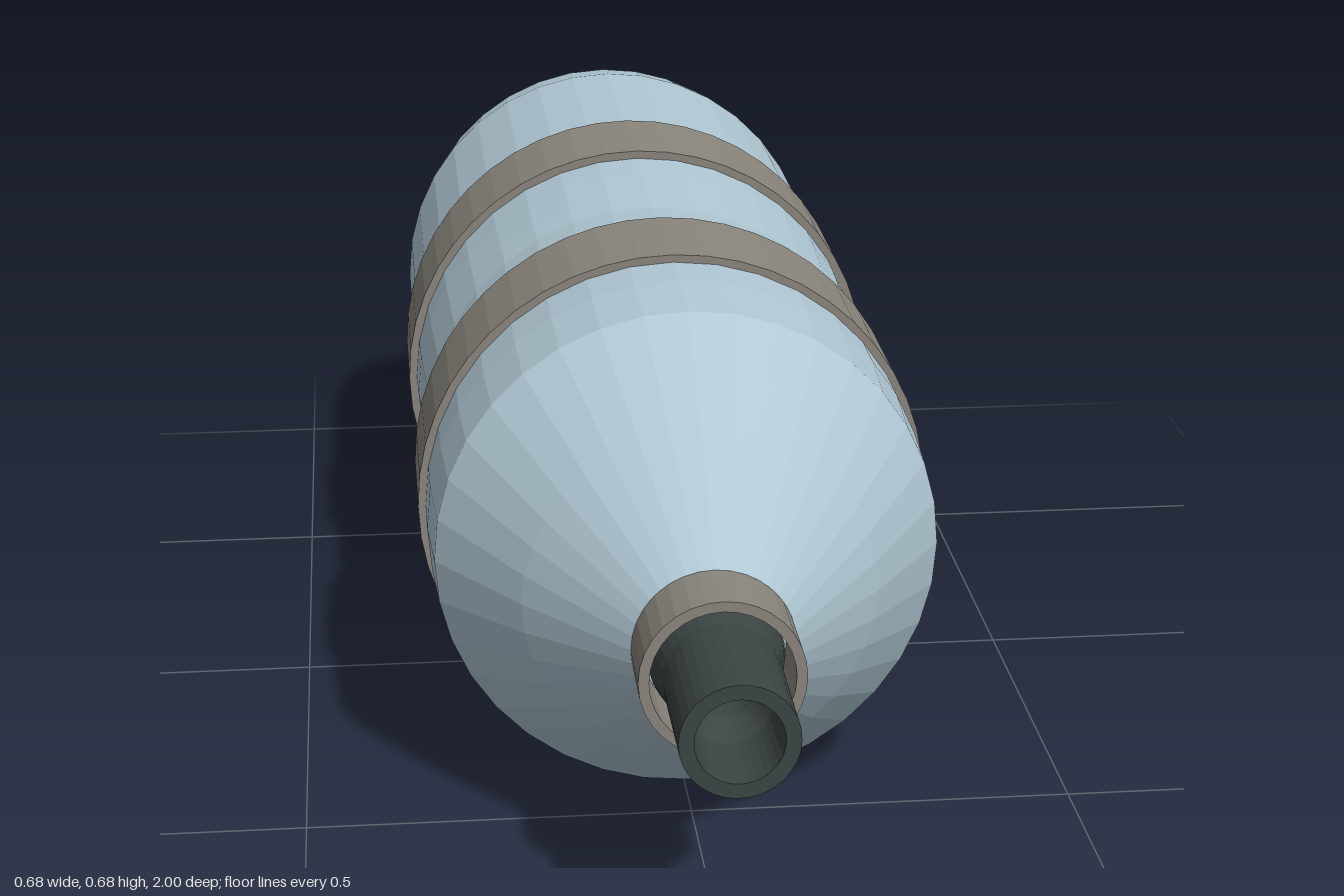
import * as THREE from 'three';

export function createModel() {
  const group = new THREE.Group();
  const axisY = 0.342;

  const mat = (name, color) => {
    const m = new THREE.MeshStandardMaterial({ color, flatShading: true });
    m.name = name;
    return m;
  };
  const paleBlue = mat('paleBlue', 0xb0c8d4);
  const warmGrey = mat('warmGrey', 0x8a867d);
  const darkGrey = mat('darkGrey', 0x3c4444);

  // Turned part lying along z; the profile is a list of [radius, z]
  const turned = (name, profile, material, segments = 36) => {
    const pts = profile.map(([r, z]) => new THREE.Vector2(r, z));
    const geometry = new THREE.LatheGeometry(pts, segments).rotateX(Math.PI / 2);
    const mesh = new THREE.Mesh(geometry, material);
    mesh.name = name;
    mesh.position.y = axisY;
    group.add(mesh);
  };

  // Closed ring with a rectangular section
  const ring = (name, inner, outer, z0, z1, material, segments) =>
    turned(name, [[inner, z0], [outer, z0], [outer, z1], [inner, z1], [inner, z0]], material, segments);

  // Bottle with a domed base, slight waist and conical shoulder
  turned('body', [
    [0, -0.99], [0.155, -0.985], [0.26, -0.957], [0.312, -0.9], [0.329, -0.8],
    [0.33, -0.45], [0.33, -0.27], [0.329, -0.2], [0.325, -0.1], [0.322, -0.04],
    [0.326, 0.04], [0.33, 0.1], [0.331, 0.25], [0.331, 0.33], [0.325, 0.44],
    [0.222, 0.59], [0.1, 0.74], [0, 0.74],
  ], paleBlue);

  // Two straps around the body
  ring('rearBand', 0.325, 0.341, -0.45, -0.272, warmGrey, 48);
  ring('frontBand', 0.325, 0.341, 0.075, 0.25, warmGrey, 48);

  // Open collar at the neck
  ring('collar', 0.087, 0.1, 0.735, 0.835, warmGrey, 32);

  // Hollow nozzle, flared inside the collar and tapered in its bore
  turned('nozzle', [
    [0.035, 0.741], [0.082, 0.741], [0.082, 0.77], [0.071, 0.83], [0.07, 1],
    [0.052, 1], [0.05, 0.9], [0.035, 0.86], [0.035, 0.741],
  ], darkGrey, 32);

  // Small stud at the centre of the base
  turned('baseStud', [[0, -1], [0.022, -1], [0.022, -0.98], [0, -0.98]], warmGrey, 12);

  return group;
}
